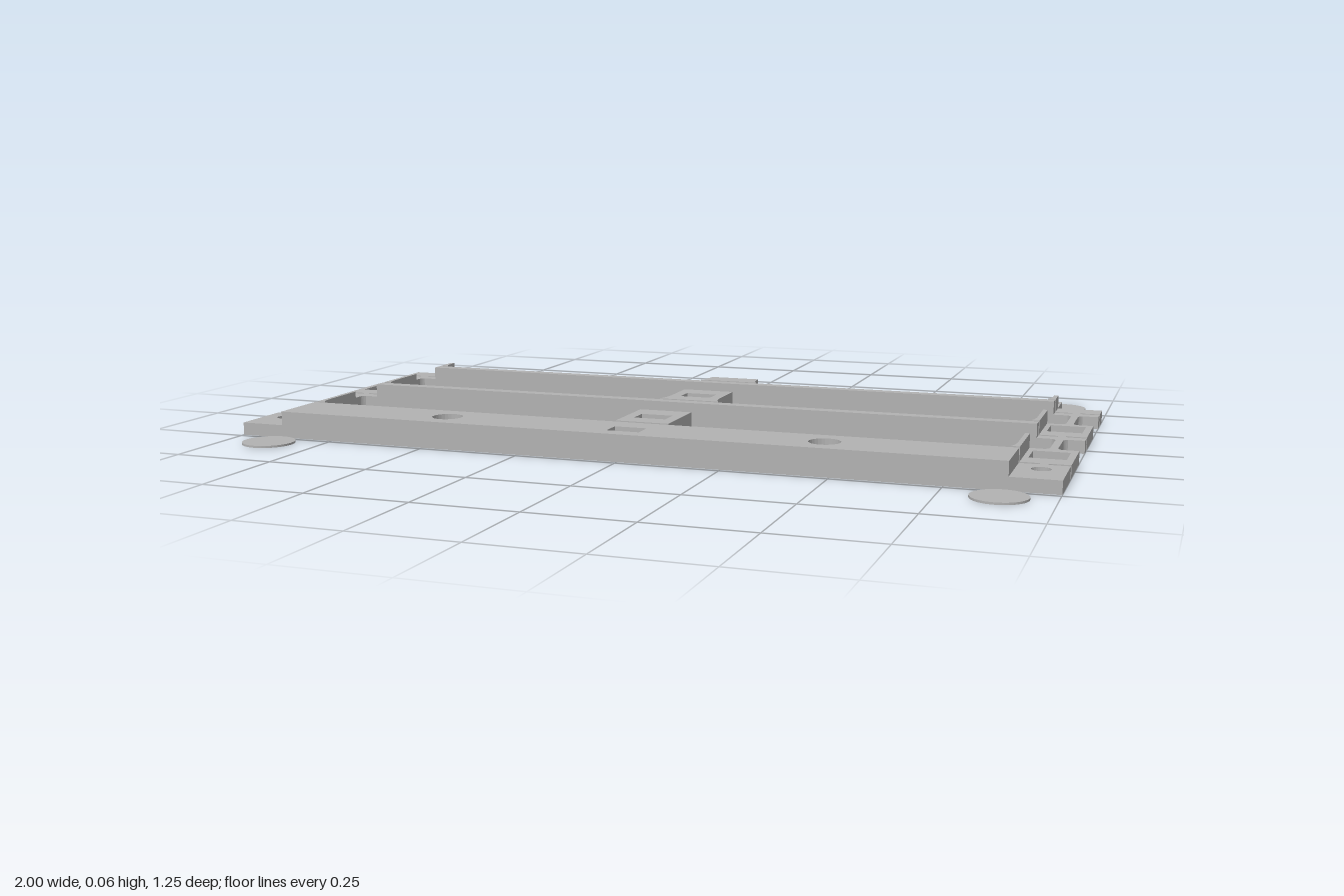
import * as THREE from 'three';

const LOW = 0.031, HIGH = 0.065;   // the two deck heights
const STEP = 0.888;                // x where the tall deck drops to the low ends

export function createModel() {
  const group = new THREE.Group();
  const grey = new THREE.MeshStandardMaterial({ color: 0xb2b2b2 });
  grey.name = 'plain grey';

  // Outlines are drawn in plan as (x, z)
  const ring = (x, z, r, n = 28) => Array.from({ length: n }, (_, i) => {
    const a = (i / n) * Math.PI * 2;
    return new THREE.Vector2(x + r * Math.cos(a), z + r * Math.sin(a));
  });
  const rect = (x0, x1, z0, z1) =>
    [[x0, z0], [x1, z0], [x1, z1], [x0, z1]].map(p => new THREE.Vector2(...p));

  // Extrudes a plan outline upward from y0 to y1
  function slab(name, outline, y0, y1, holes = []) {
    const shape = new THREE.Shape(outline);
    holes.forEach(h => shape.holes.push(new THREE.Path(h)));
    const geo = new THREE.ExtrudeGeometry(shape, { depth: y1 - y0, bevelEnabled: false });
    geo.rotateX(Math.PI / 2).translate(0, y1, 0);
    const mesh = new THREE.Mesh(geo, grey);
    mesh.name = name;
    group.add(mesh);
  }

  // Thin link along z, flaring at both ends
  function link(x, z0, z1) {
    const w = 0.009, f = 0.02, c = Math.min(0.016, (z1 - z0) / 2);
    const side = [];
    for (let i = 0; i <= 4; i++) {
      const t = i / 4;
      side.push([w + (f - w) * (1 - t) ** 2, z0 + c * t]);
    }
    for (let i = 0; i <= 4; i++) {
      const t = i / 4;
      side.push([w + (f - w) * t * t, z1 - c + c * t]);
    }
    const pts = [...side, ...side.map(([a, z]) => [-a, z]).reverse()];
    slab('link', pts.map(([a, z]) => new THREE.Vector2(x + a, z)), 0, LOW);
  }

  // Front plate: hexagonal nut pockets below, round holes above, a tie slot in the middle
  const slot = z => rect(-0.04, 0.04, z - 0.026, z + 0.026);
  const plate = rect(-STEP, STEP, 0.339, 0.489);
  slab('frontPlateLower', plate, 0, LOW,
    [slot(0.424), ring(-0.47, 0.414, 0.056, 6), ring(0.47, 0.414, 0.056, 6)]);
  slab('frontPlateUpper', plate, LOW, HIGH,
    [slot(0.424), ring(-0.47, 0.414, 0.037), ring(0.47, 0.414, 0.037)]);

  // Cross bars with low ends
  const bars = [[-0.326, -0.296], [0.004, 0.035]];
  for (const [z0, z1] of bars) {
    slab('crossBar', rect(-STEP, STEP, z0, z1), 0, HIGH);
    for (const s of [-1, 1]) {
      slab('crossBarEnd', rect(Math.min(s, s * STEP), Math.max(s, s * STEP), z0, z1), 0, LOW);
    }
  }

  // Centre blocks, the rear ones flaring toward their bar
  const flared = (z0, z1, bend) => [
    [-0.067, z0], [0.067, z0], [0.067, bend], [0.072, (bend + z1) / 2 + 0.01], [0.08, z1],
    [-0.08, z1], [-0.072, (bend + z1) / 2 + 0.01], [-0.067, bend],
  ].map(p => new THREE.Vector2(...p));
  slab('rearTab', rect(-0.067, 0.067, -0.493, -0.395), 0, LOW, [ring(0, -0.443, 0.02)]);
  slab('rearBlock', flared(-0.396, -0.337, -0.385), 0, HIGH);
  slab('middleBlock', flared(-0.166, -0.008, -0.06), 0, HIGH, [slot(-0.084)]);
  slab('frontBlock', rect(-0.067, 0.067, 0.162, 0.326), 0, HIGH, [slot(0.248)]);

  // Side brackets: low plate with a square window and a tall inner wall
  const brackets = [
    { z0: -0.397, z1: -0.337 },
    { z0: -0.166, z1: -0.008, hole: [-0.145, -0.06] },
    { z0: 0.162, z1: 0.326, hole: [0.19, 0.273] },
  ];
  for (const s of [-1, 1]) {
    const span = (a, b, z0, z1) => rect(Math.min(s * a, s * b), Math.max(s * a, s * b), z0, z1);
    for (const { z0, z1, hole } of brackets) {
      slab('sideBracket', span(STEP, 1, z0, z1), 0, LOW, hole ? [span(0.9, 0.984, ...hole)] : []);
      const wall = [[STEP, z0], [0.877, z0], [0.877, z1 - 0.04], [0.874, z1 - 0.015],
        [0.868, z1], [STEP, z1]];
      slab('bracketWall', wall.map(([x, z]) => new THREE.Vector2(s * x, z)), 0, HIGH);
    }
    // Low plate end with a screw hole
    slab('frontPlateEnd', span(STEP, 1, 0.339, 0.489), 0, LOW, [ring(s * 0.943, 0.388, 0.022)]);

    // Thin round pads, the rear one on a narrow arm
    slab('frontPad', ring(s * 0.88, 0.56, 0.063, 40), 0, 0.005);
    slab('rearPad', ring(s * 0.88, -0.56, 0.063, 40), 0, 0.005);
    slab('rearPadArm', span(0.875, 0.887, -0.5, -0.396), 0, LOW);
  }

  // Links joining blocks, bars and plate in three rows
  const gaps = [[-0.338, -0.325], [-0.297, -0.165], [-0.009, 0.005], [0.034, 0.163], [0.325, 0.34]];
  for (const x of [-0.942, 0, 0.942]) gaps.forEach(([z0, z1]) => link(x, z0, z1));

  return group;
}
